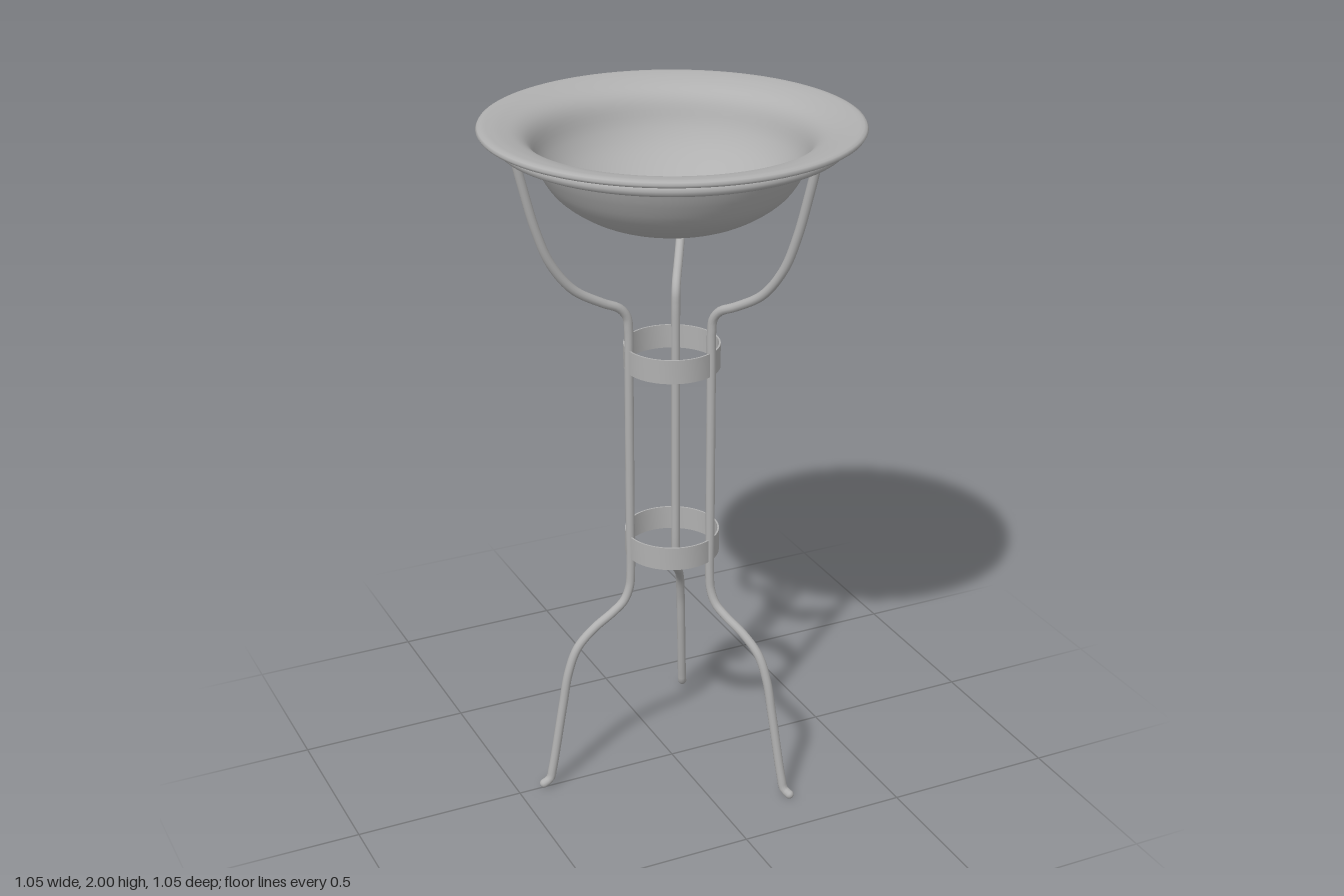
import * as THREE from 'three';
import { toCreasedNormals } from 'three/addons/utils/BufferGeometryUtils.js';

const vecs = (pts) => pts.map(([x, y]) => new THREE.Vector2(x, y));

export function createModel() {
  const group = new THREE.Group();
  const metal = new THREE.MeshStandardMaterial({ color: 0xb0b0b0 });
  metal.name = 'grey metal';

  const add = (name, geometry, parent = group) => {
    const mesh = new THREE.Mesh(geometry, metal);
    mesh.name = name;
    parent.add(mesh);
    return mesh;
  };

  // Basin: outer wall up to the rim, then the inner wall back to the middle
  const outer = new THREE.SplineCurve(vecs([
    [0, 1.717], [0.09, 1.719], [0.174, 1.73], [0.25, 1.76], [0.322, 1.813],
    [0.366, 1.88], [0.393, 1.94], [0.425, 1.966], [0.47, 1.979], [0.515, 1.981],
  ])).getPoints(40);
  const lip = vecs([[0.523, 1.983], [0.527, 1.99], [0.523, 1.997], [0.515, 2]]);
  const inner = new THREE.SplineCurve(vecs([
    [0.505, 2], [0.465, 1.994], [0.415, 1.977], [0.382, 1.945], [0.355, 1.88],
    [0.313, 1.824], [0.245, 1.772], [0.17, 1.741], [0.09, 1.73], [0, 1.728],
  ])).getPoints(40);
  add('basin', new THREE.LatheGeometry([...outer, ...lip, ...inner], 96));

  // Ring that carries the basin
  const ring = new THREE.TorusGeometry(0.463, 0.017, 14, 96);
  ring.rotateX(Math.PI / 2);
  add('supportRing', ring).position.y = 1.958;

  // Flat bands tying the legs together
  const bandProfile = vecs([
    [0.132, -0.035], [0.137, -0.035], [0.137, 0.035], [0.132, 0.035], [0.132, -0.035],
  ]);
  const band = toCreasedNormals(new THREE.LatheGeometry(bandProfile, 64), 0.6);
  add('upperBand', band).position.y = 1.325;
  add('lowerBand', band).position.y = 0.745;

  // Bent rod legs, profile given as distance from the axis and height
  const path = new THREE.CatmullRomCurve3([
    [0.455, 1.955], [0.437, 1.88], [0.402, 1.75], [0.362, 1.65], [0.297, 1.565],
    [0.21, 1.512], [0.16, 1.488], [0.138, 1.46], [0.133, 1.42], [0.133, 1.3],
    [0.133, 0.8], [0.133, 0.66], [0.137, 0.615], [0.155, 0.573], [0.19, 0.543],
    [0.253, 0.502], [0.305, 0.45], [0.335, 0.375], [0.355, 0.27], [0.393, 0.06],
    [0.402, 0.027], [0.422, 0.015],
  ].map(([r, y]) => new THREE.Vector3(r, y, 0)), false, 'centripetal');
  const rod = new THREE.TubeGeometry(path, 160, 0.013, 12, false);
  const tip = new THREE.SphereGeometry(0.013, 12, 8);
  for (let i = 0; i < 3; i++) {
    const leg = new THREE.Group();
    leg.name = 'leg' + (i + 1);
    add('legRod', rod, leg);
    add('footTip', tip, leg).position.set(0.422, 0.015, 0);
    leg.rotation.y = Math.PI / 3 + (i * Math.PI * 2) / 3;
    group.add(leg);
  }

  return group;
}
